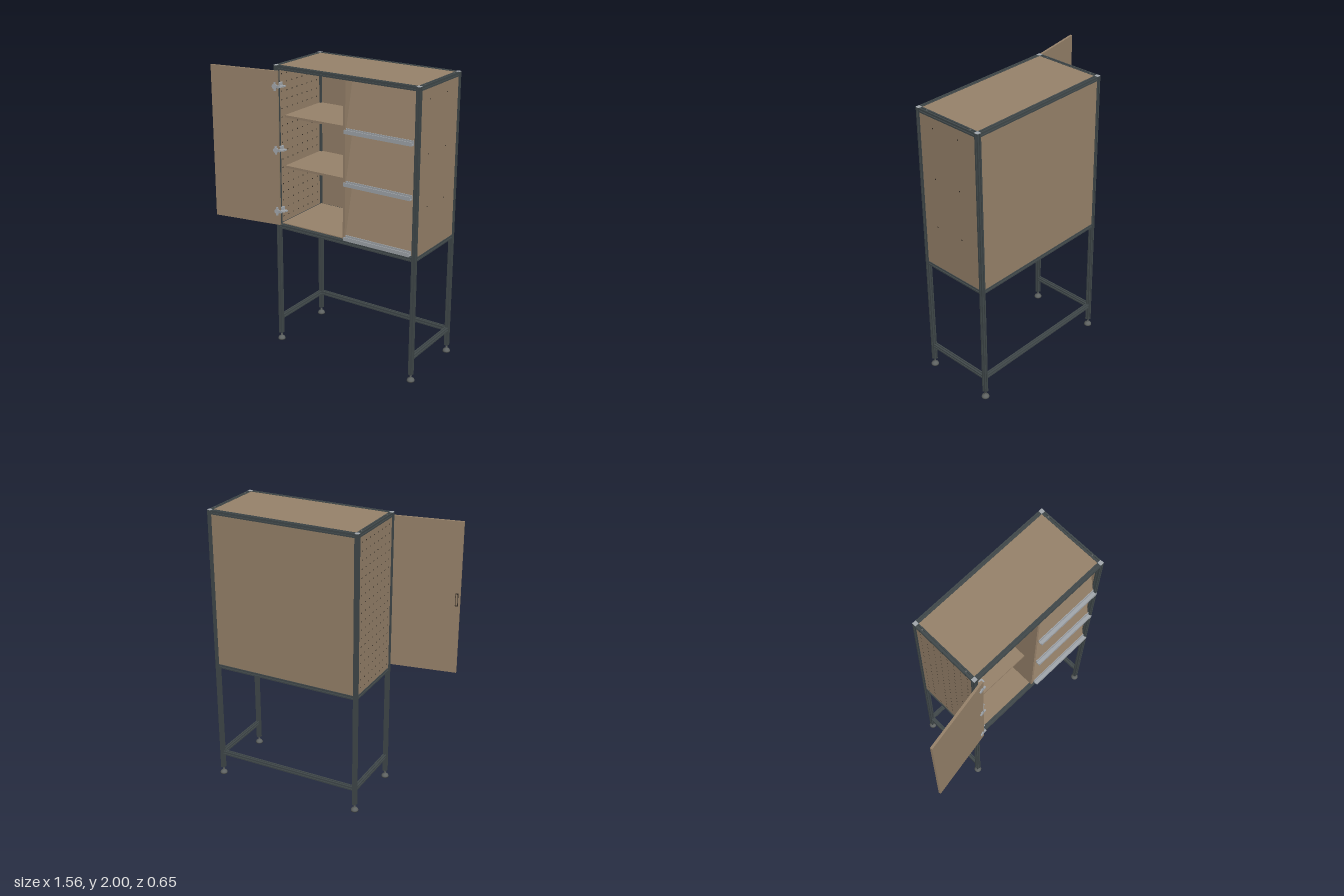
import * as THREE from 'three';
import { mergeGeometries } from 'three/addons/utils/BufferGeometryUtils.js';

const mat = (name, color) => Object.assign(new THREE.MeshStandardMaterial({ color }), { name });

// Frame layout: post centres, profile width and rail heights
const XL = -0.32, XR = 0.75, ZB = -0.298, ZF = 0.2, W = 0.028;
const Y_LOW = 0.177, Y_MID = 0.876, Y_TOP = 1.985;
const XM = (XL + XR) / 2, ZM = (ZB + ZF) / 2;

// Square aluminium profile with one slot in each side
function profileShape() {
  const h = W / 2, s = 0.004, d = 0.007;
  const side = [[-h, -h], [-s, -h], [-s, -h + d], [s, -h + d], [s, -h]];
  const pts = [];
  for (let i = 0; i < 4; i++) {
    const c = [1, 0, -1, 0][i], n = [0, 1, 0, -1][i];
    side.forEach(([x, y]) => pts.push(new THREE.Vector2(x * c - y * n, x * n + y * c)));
  }
  return new THREE.Shape(pts);
}

export function createModel() {
  const model = new THREE.Group();
  model.name = 'cabinet';
  const wood = mat('brown board', 0x98836b);
  const frame = mat('dark frame', 0x41494b);
  const metal = mat('light metal', 0xa3a8ad);
  const footMat = mat('grey foot', 0x5e6261);
  const holeMat = mat('dark hole', 0x352e27);

  const add = (name, geo, material, x = 0, y = 0, z = 0, parent = model) => {
    const m = new THREE.Mesh(geo, material);
    m.name = name;
    m.position.set(x, y, z);
    parent.add(m);
    return m;
  };
  // Box given by its limits
  const box = (name, material, x0, x1, y0, y1, z0, z1, parent) =>
    add(name, new THREE.BoxGeometry(x1 - x0, y1 - y0, z1 - z0), material,
      (x0 + x1) / 2, (y0 + y1) / 2, (z0 + z1) / 2, parent);

  // Slotted bar along an axis, centred on a point
  const shape = profileShape();
  const bar = (name, axis, length, x, y, z) => {
    const g = new THREE.ExtrudeGeometry(shape, { depth: length, bevelEnabled: false });
    g.translate(0, 0, -length / 2);
    if (axis === 'x') g.rotateY(Math.PI / 2);
    if (axis === 'y') g.rotateX(Math.PI / 2);
    return add(name, g, frame, x, y, z);
  };

  // Posts with caps and levelling feet
  const footProfile = [[0, 0], [0.026, 0], [0.026, 0.008], [0.022, 0.017], [0.011, 0.026],
    [0.007, 0.03], [0.007, 0.055]].map(p => new THREE.Vector2(...p));
  for (const x of [XL, XR]) for (const z of [ZB, ZF]) {
    bar('post', 'y', 1.947, x, 0.05 + 1.947 / 2, z);
    add('postCap', new THREE.BoxGeometry(W, 0.003, W), metal, x, 1.9985, z);
    add('foot', new THREE.LatheGeometry(footProfile, 20), footMat, x, 0, z);
  }

  // Rails: the bottom ring is open at the front
  const lx = XR - XL - W, lz = ZF - ZB - W;
  for (const y of [Y_LOW, Y_MID, Y_TOP]) {
    bar('backRail', 'x', lx, XM, y, ZB);
    if (y !== Y_LOW) bar('frontRail', 'x', lx, XM, y, ZF);
    for (const x of [XL, XR]) bar('sideRail', 'z', lz, x, y, ZM);
  }
  bar('floorCrossRail', 'z', lz, 0.215, Y_MID, ZM);
  for (const x of [XL, XR]) for (const z of [-0.24, 0.13])
    add('railBolt', new THREE.CylinderGeometry(0.006, 0.006, 0.003, 12), footMat, x, Y_TOP + W / 2, z);

  // Outer panels, set just inside the outer faces of the frame
  const h = W / 2, y0 = Y_MID + h, y1 = Y_TOP - h, t = 0.01, inset = 0.004;
  const xi0 = XL + h, xi1 = XR - h, zi0 = ZB + h, zi1 = ZF - h;
  const leftFace = XL - h + inset, rightFace = XR + h - inset, backFace = ZB - h + inset;
  box('topPanel', wood, xi0, xi1, 1.987, 1.997, zi0, zi1);
  box('floorPanel', wood, xi0, xi1, 0.88, 0.895, zi0, zi1);
  box('backPanel', wood, xi0, xi1, y0, y1, backFace, backFace + t);
  box('perforatedSidePanel', wood, leftFace, leftFace + t, y0, y1, zi0, zi1);
  box('plainSidePanel', wood, rightFace - t, rightFace, y0, y1, zi0, zi1);

  // Round holes shown as thin discs on both faces of a side panel
  const holes = (name, xs, ys, zs, r) => {
    const discs = [];
    for (const [x, turn] of xs) for (const y of ys) for (const z of zs)
      discs.push(new THREE.CircleGeometry(r, 10).rotateY(turn).translate(x, y, z));
    add(name, mergeGeometries(discs), holeMat);
  };
  const spread = (n, a, b) => Array.from({ length: n }, (_, i) => a + (b - a) * i / (n - 1));
  const q = Math.PI / 2, e = 0.001;
  holes('perforations', [[leftFace - e, -q], [leftFace + t + e, q]],
    spread(18, 0.93, 1.93), spread(8, -0.25, 0.15), 0.005);
  holes('screwHoles', [[rightFace + e, q], [rightFace - t - e, -q]],
    [1.2, 1.55, 1.9], [-0.14, 0.075], 0.005);

  // Inner divider and the two shelves
  box('divider', wood, 0.207, 0.223, 0.895, y1, backFace + t, ZF + 0.005);
  for (const y of [1.28, 1.635])
    box('shelf', wood, leftFace + t, 0.207, y - 0.008, y + 0.008, backFace + t, 0.12);

  // Three front flaps leaning back, each with a metal pull bar
  const lean = 0.22, flapWidth = 0.5;
  for (const [bottom, top] of [[0.9, 1.255], [1.277, 1.612], [1.63, 1.968]]) {
    const flap = new THREE.Group();
    flap.name = 'flap';
    flap.position.set(0.479, bottom, 0.2);
    model.add(flap);
    const len = (top - bottom) / Math.cos(lean);
    const board = add('flapBoard', new THREE.BoxGeometry(flapWidth, len, 0.012), wood,
      0, (top - bottom) / 2, -Math.tan(lean) * (top - bottom) / 2, flap);
    board.rotation.x = -lean;
    box('pullBar', metal, -0.248, 0.248, 0, 0.007, 0.005, 0.037, flap);
    box('pullLip', metal, -0.248, 0.248, 0.007, 0.026, 0.031, 0.037, flap);
    box('pullBack', metal, -0.248, 0.248, 0.007, 0.03, 0.005, 0.01, flap);
  }

  // Open door, swung out around its hinge edge
  const door = new THREE.Group();
  door.name = 'door';
  door.position.set(-0.287, 0, 0.231);
  door.rotation.y = 0.173;
  model.add(door);
  box('doorBoard', wood, -0.5, 0, 0.897, 1.968, -0.008, 0.008, door);
  box('doorPull', holeMat, -0.487, -0.467, 1.385, 1.475, -0.011, -0.008, door);
  box('doorPullInset', wood, -0.483, -0.471, 1.392, 1.468, -0.0125, -0.011, door);

  // Cup hinges joining door and frame
  for (const y of [0.995, 1.43, 1.865]) {
    const cup = add('hingeCup', new THREE.CylinderGeometry(0.019, 0.019, 0.008, 20), metal,
      -0.02, y, 0.011, door);
    cup.rotation.x = Math.PI / 2;
    box('hingePlate', metal, -0.028, -0.012, y - 0.03, y + 0.03, 0.008, 0.011, door);
    box('hingeLink', metal, -0.302, -0.272, y - 0.008, y + 0.008, 0.236, 0.247);
    const arm = box('hingeArm', metal, -0.3, -0.25, y - 0.007, y + 0.007, 0.218, 0.228);
    arm.rotation.y = 0.9;
    box('hingeMount', metal, xi0, xi0 + 0.012, y - 0.018, y + 0.018, 0.17, 0.205);
    box('hingeTip', metal, -0.278, -0.252, y - 0.004, y + 0.004, 0.19, 0.215);
  }
  return model;
}
